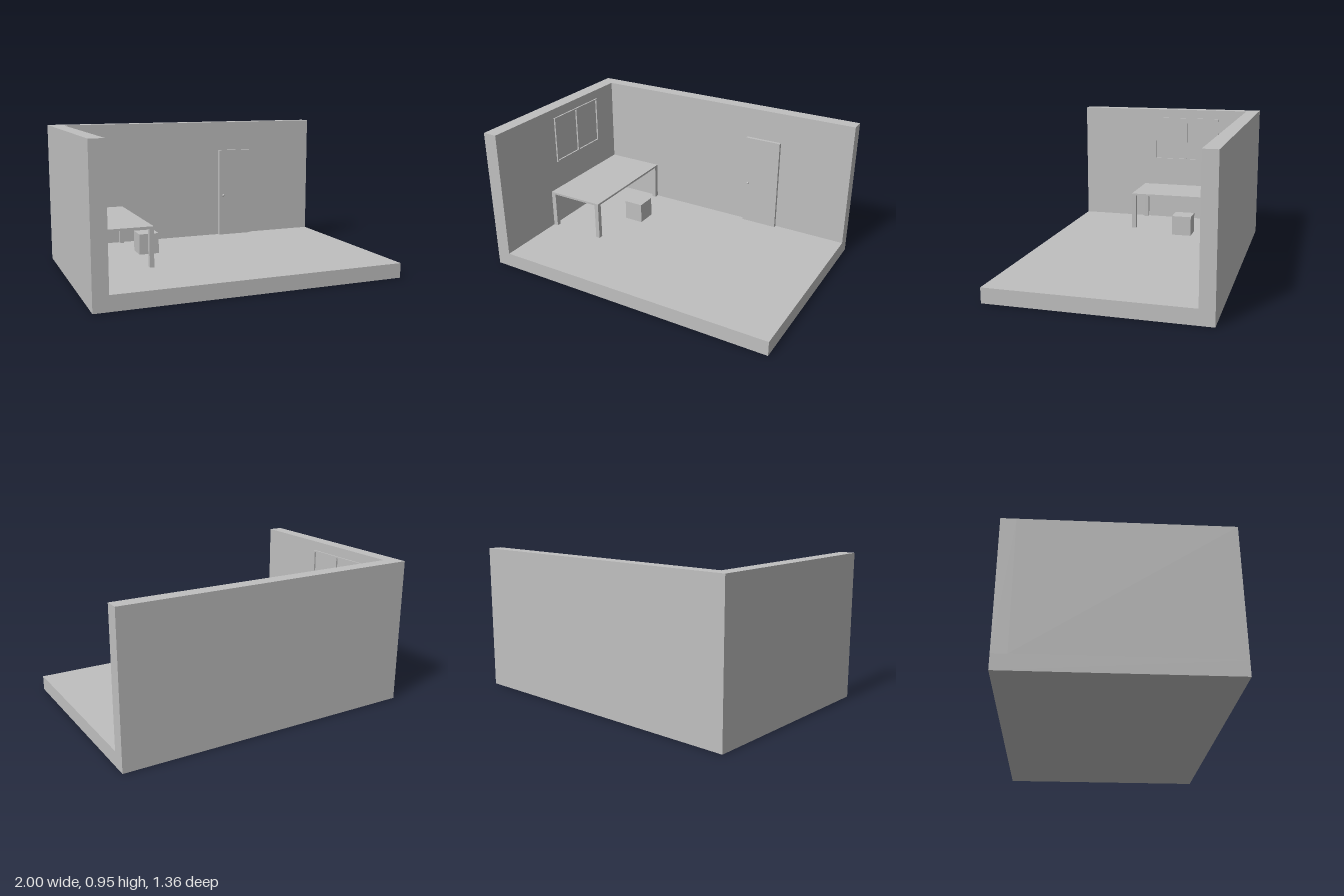
import * as THREE from 'three';

export function createModel() {
  const room = new THREE.Group();
  room.name = 'room';
  const grey = new THREE.MeshStandardMaterial({ color: 0xbfbfbf });
  grey.name = 'plain grey';

  // Box given by its lower and upper bounds on each axis
  function box(name, [x0, x1], [y0, y1], [z0, z1], parent = room) {
    const mesh = new THREE.Mesh(new THREE.BoxGeometry(x1 - x0, y1 - y0, z1 - z0), grey);
    mesh.position.set((x0 + x1) / 2, (y0 + y1) / 2, (z0 + z1) / 2);
    mesh.name = name;
    parent.add(mesh);
    return mesh;
  }
  function group(name) {
    const g = new THREE.Group();
    g.name = name;
    room.add(g);
    return g;
  }

  const floorY = 0.097, wallX = -0.905, wallZ = -0.59;

  // Floor slab and two walls
  box('floor', [-1, 1], [0, floorY], [-0.682, 0.682]);
  box('backWall', [-1, 1], [floorY, 0.953], [-0.682, wallZ]);
  box('sideWall', [-1, wallX], [floorY, 0.953], [wallZ, 0.682]);

  // Window frame with two openings
  const rect = (path, x0, y0, x1, y1) =>
    path.moveTo(x0, y0).lineTo(x1, y0).lineTo(x1, y1).lineTo(x0, y1).closePath();
  const frame = new THREE.Shape();
  rect(frame, -0.113, 0.56, 0.382, 0.889);
  for (const [a, b] of [[-0.103, 0.128], [0.139, 0.371]]) {
    const hole = new THREE.Path();
    rect(hole, a, 0.571, b, 0.88);
    frame.holes.push(hole);
  }
  const windowFrame = new THREE.Mesh(
    new THREE.ExtrudeGeometry(frame, { depth: 0.011, bevelEnabled: false }), grey);
  windowFrame.rotation.y = Math.PI / 2;
  windowFrame.position.x = wallX;
  windowFrame.name = 'windowFrame';
  room.add(windowFrame);

  // Table against the side wall
  const table = group('table');
  box('tabletop', [wallX, -0.502], [0.346, 0.36], [wallZ, 0.197], table);
  for (const x of [[wallX, -0.873], [-0.531, -0.502]])
    for (const z of [[wallZ, -0.557], [0.165, 0.197]])
      box('tableLeg', x, [floorY, 0.346], z, table);

  // Block stool
  box('stool', [-0.502, -0.368], [0.102, 0.24], [-0.279, -0.141]);

  // Door with round knob
  const door = group('door');
  box('doorPanel', [0.246, 0.499], [floorY, 0.743], [wallZ, -0.567], door);
  const knob = new THREE.Mesh(new THREE.SphereGeometry(0.009, 16, 12), grey);
  knob.position.set(0.277, 0.4, -0.562);
  knob.name = 'doorKnob';
  door.add(knob);

  return room;
}
